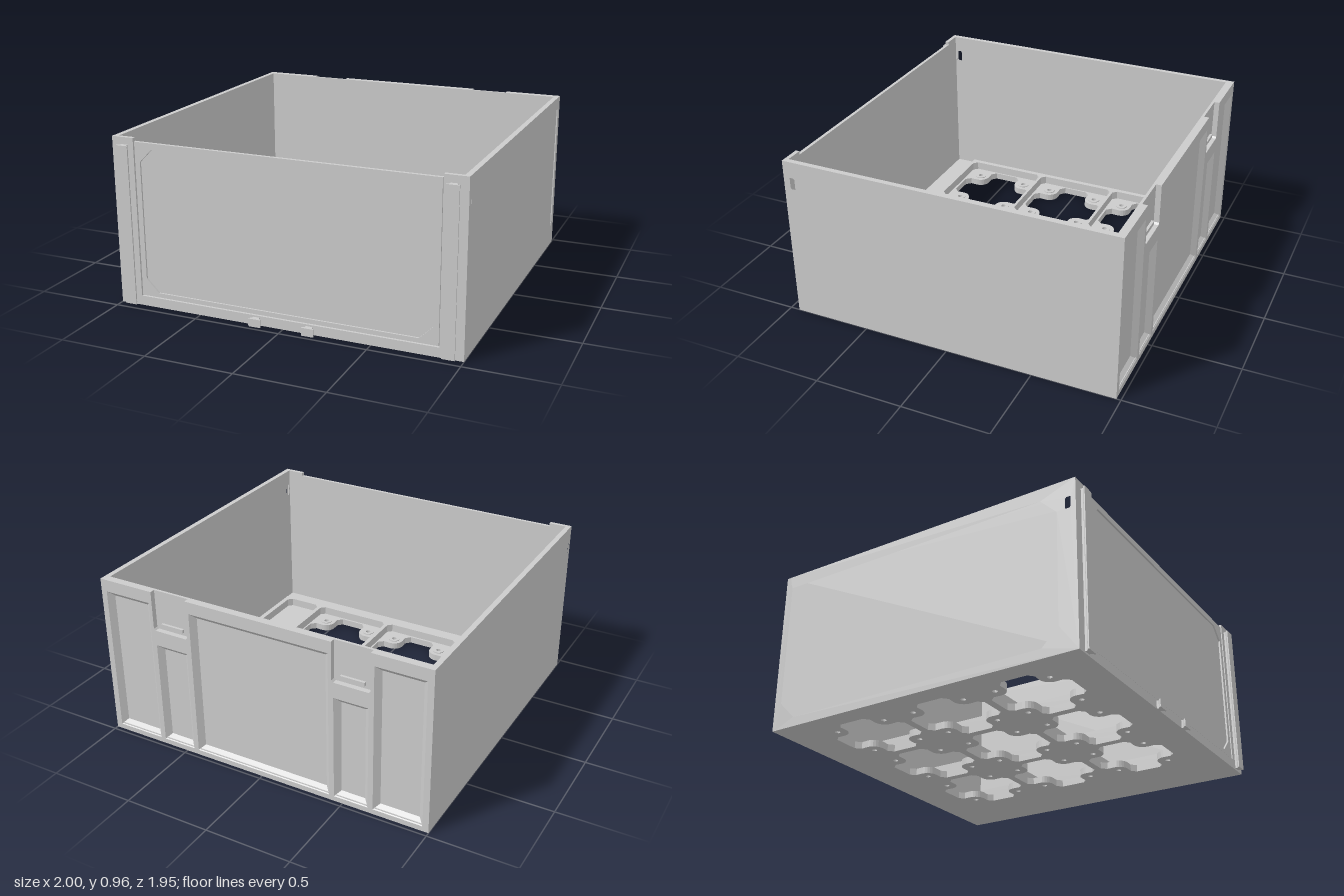
import * as THREE from 'three';

const grey = new THREE.MeshStandardMaterial({ color: 0xcccccc, flatShading: true });
const thin = new THREE.MeshStandardMaterial({ color: 0xcccccc, flatShading: true, side: THREE.DoubleSide });

const rect = (x0, y0, x1, y1) => [[x0, y0], [x1, y0], [x1, y1], [x0, y1]];
// Rectangle with cut corners; cuts run from lower left, counter-clockwise
const cutRect = (x0, y0, x1, y1, [a, b, c, d]) => [
  [x0 + a, y0], [x1 - b, y0], [x1, y0 + b], [x1, y1 - c],
  [x1 - c, y1], [x0 + d, y1], [x0, y1 - d], [x0, y0 + a],
];
const toVectors = (pts) => pts.map(([x, y]) => new THREE.Vector2(x, y));
const circle = (cx, cy, r, n = 20) => Array.from({ length: n }, (_, i) => {
  const t = (i / n) * Math.PI * 2;
  return [cx + r * Math.cos(t), cy + r * Math.sin(t)];
});

function plate(outline, holes, depth) {
  const shape = new THREE.Shape(toVectors(outline));
  holes.forEach((h) => shape.holes.push(new THREE.Path(toVectors(h))));
  return new THREE.ExtrudeGeometry(shape, { depth, bevelEnabled: false });
}

// Band of faces joining two closed loops of 3D points
function loft(a, b) {
  const pos = [];
  a.forEach((p, i) => {
    const j = (i + 1) % a.length;
    pos.push(...p, ...a[j], ...b[j], ...p, ...b[j], ...b[i]);
  });
  const g = new THREE.BufferGeometry();
  g.setAttribute('position', new THREE.Float32BufferAttribute(pos, 3));
  g.computeVertexNormals();
  return g;
}

export function createModel() {
  const model = new THREE.Group();
  const add = (name, geo, mat = grey, parent = model) => {
    const m = new THREE.Mesh(geo, mat);
    m.name = name;
    parent.add(m);
    return m;
  };
  // Horizontal plate: outline is given as (x, -z)
  const slab = (name, outline, holes, y0, y1) =>
    add(name, plate(outline, holes, y1 - y0).rotateX(-Math.PI / 2).translate(0, y0, 0));
  // Upright plate facing z
  const upright = (name, outline, holes, z0, z1) =>
    add(name, plate(outline, holes, z1 - z0).translate(0, 0, z0));

  // Floor: nine cross-shaped openings with screw bosses in the corners
  const cells = [];
  for (const x of [-0.645, -0.13, 0.385]) for (const v of [-0.51, 0.003, 0.517]) cells.push([x, v]);
  const quarter = [[0.235, 0.075], [0.205, 0.102]];
  for (let i = 0; i <= 6; i++) { // rounded lobe between two arms
    const t = -Math.PI / 2 - (i / 6) * (Math.PI / 2);
    quarter.push([0.16 + 0.06 * Math.cos(t), 0.16 + 0.06 * Math.sin(t)]);
  }
  quarter.push([0.102, 0.205], [0.075, 0.235]);
  const crossAt = (cx, cy) => [0, 1, 2, 3].flatMap((k) => {
    const c = [1, 0, -1, 0][k], s = [0, 1, 0, -1][k];
    return quarter.map(([x, y]) => [cx + c * x - s * y, cy + s * x + c * y]);
  });
  const screws = cells.flatMap(([x, v]) =>
    [[-1, -1], [1, -1], [1, 1], [-1, 1]].map(([i, j]) => [x + i * 0.16, v + j * 0.16]));
  slab('floor', rect(-0.99, -0.94, 0.99, 0.97),
    [...cells.map(([x, v]) => crossAt(x, v)), ...screws.map(([x, v]) => circle(x, v, 0.015, 12))], 0, 0.04);
  screws.forEach(([x, v]) => slab('screwBoss', circle(x, v, 0.036), [circle(x, v, 0.015, 12)], 0.04, 0.045));

  // Raised grid with recessed cells and a long side channel
  const c4 = (r) => [r, r, r, r];
  const gridHoles = cells.map(([x, v]) => cutRect(x - 0.245, v - 0.248, x + 0.245, v + 0.248, c4(0.025)));
  gridHoles.push(cutRect(0.655, -0.758, 0.89, 0.765, c4(0.025)));
  const top = rect(-0.92, -0.775, 0.92, 0.785), foot = rect(-0.97, -0.82, 0.97, 0.83);
  slab('floorGrid', top, gridHoles, 0.04, 0.09);
  add('gridSlope', loft(foot.map(([x, v]) => [x, 0.04, -v]), top.map(([x, v]) => [x, 0.09, -v])), thin);
  for (const z of [-0.265, 0.25]) for (const x of [0.67, 0.875])
    add('channelTab', new THREE.BoxGeometry(0.035, 0.045, 0.05).translate(x, 0.0625, z));

  // Side walls: thin inner sheet and a frame around a recessed panel, both with a slot
  const slot = cutRect(0.878, 0.79, 0.915, 0.865, c4(0.008));
  for (const s of [1, -1]) {
    const wall = new THREE.Group();
    wall.name = s > 0 ? 'leftWall' : 'rightWall';
    model.add(wall);
    const outline = rect(-0.96, 0, 0.945, 0.96);
    const cuts = s > 0 ? [0.1, 0.315, 0.095, 0.001] : [0.1, 0.095, 0.095, 0.001];
    const panel = cutRect(-0.93, 0.055, 0.835, 0.885, cuts);
    const put = (name, holes, x0, x1) => {
      // turn the plate so that its first axis runs along z
      const g = plate(outline.map(([z, y]) => [-z, y]), holes.map((h) => h.map(([z, y]) => [-z, y])), x1 - x0);
      g.rotateY(Math.PI / 2).translate(s > 0 ? x0 : -x1, 0, 0);
      add(name, g, grey, wall);
    };
    put('wallSheet', [slot], 0.97, 0.99);
    put('wallFrame', [panel, slot], 0.99, 1);
  }

  // Front wall: corner posts, bottom bar and a framed, recessed panel
  upright('frontSheet', rect(-0.87, 0.04, 0.87, 0.94), [], 0.922, 0.931);
  upright('frontFrame', rect(-0.865, 0.06, 0.865, 0.94),
    [cutRect(-0.835, 0.085, 0.835, 0.905, c4(0.075))], 0.931, 0.941);
  upright('frontBar', rect(-0.87, 0, 0.87, 0.055), [], 0.922, 0.945);
  for (const s of [1, -1]) {
    add('frontPost', new THREE.BoxGeometry(0.115, 0.96, 0.023).translate(s * 0.9275, 0.48, 0.9335));
  }

  // Dovetail rails and feet on the front
  const dovetail = (name, x, y0, y1) => slab(name,
    [[x - 0.02, -0.945], [x - 0.02, -0.957], [x - 0.035, -0.968], [x - 0.035, -0.975],
      [x + 0.035, -0.975], [x + 0.035, -0.968], [x + 0.02, -0.957], [x + 0.02, -0.945]].reverse(), [], y0, y1);
  for (const s of [1, -1]) {
    dovetail('frontRail', s * 0.925, 0.01, 0.92);
    dovetail('frontClip', s * 0.155, 0, 0.045);
  }

  // Back wall: bevelled pockets and two notches open at the top
  const pockets = [[-0.42, 0.03, 0.42, 0.89]];
  for (const [x0, x1, y1] of [[0.68, 0.965, 0.89], [0.45, 0.65, 0.64]])
    pockets.push([x0, 0.03, x1, y1], [-x1, 0.03, -x0, y1]);
  const backOutline = [[-1, 0], [1, 0], [1, 0.96],
    [0.66, 0.96], [0.66, 0.74], [0.65, 0.73], [0.45, 0.73], [0.44, 0.74], [0.44, 0.96],
    [-0.44, 0.96], [-0.44, 0.74], [-0.45, 0.73], [-0.65, 0.73], [-0.66, 0.74], [-0.66, 0.96], [-1, 0.96]];
  upright('backSheet', rect(-0.99, 0, 0.99, 0.96), [], -0.945, -0.93);
  upright('backFrame', backOutline, pockets.map((p) => rect(...p)), -0.975, -0.945);
  pockets.forEach(([x0, y0, x1, y1]) => {
    const b = 0.03;
    add('pocketBevel', loft(
      rect(x0, y0, x1, y1).map(([x, y]) => [x, y, -0.975]),
      rect(x0 + b, y0 + b, x1 - b, y1 - b).map(([x, y]) => [x, y, -0.945])), thin);
  });
  // Small catches at the lower end of the notches
  for (const s of [1, -1])
    add('notchCatch', new THREE.BoxGeometry(0.14, 0.02, 0.015).translate(s * 0.55, 0.76, -0.952));

  return model;
}
